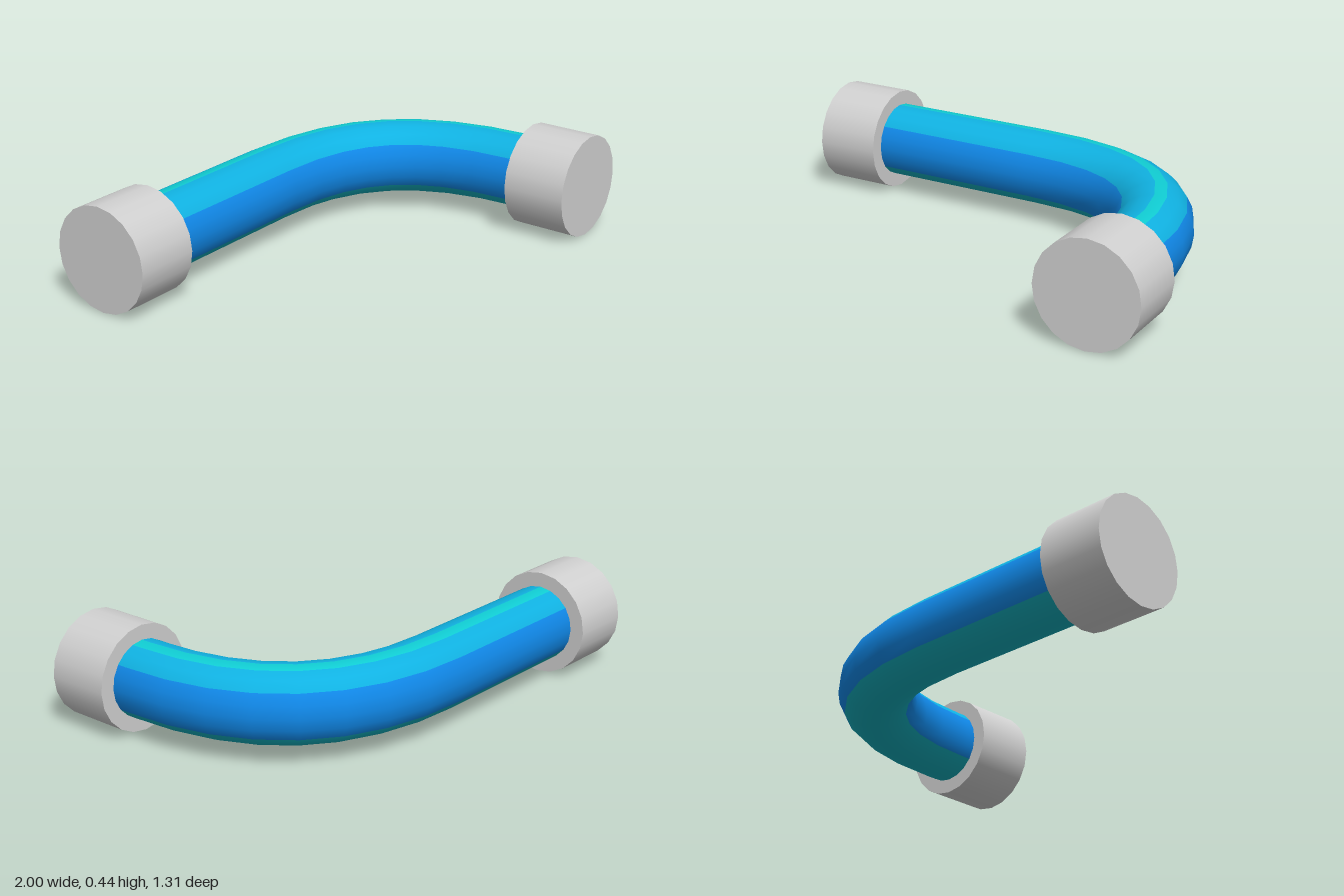
import * as THREE from 'three';

const Y = 0.219, R = 0.158, SIDES = 20;

const material = (name, color) => {
  const m = new THREE.MeshStandardMaterial({ color });
  m.name = name;
  return m;
};

// Centre line: straight run, curved elbow, short straight end
function pathRings() {
  const bend = new THREE.QuadraticBezierCurve3(
    new THREE.Vector3(0, Y, -0.438),
    new THREE.Vector3(0.781, Y, -0.438),
    new THREE.Vector3(0.781, Y, 0.34)
  );
  const rings = [{ p: new THREE.Vector3(-0.85, Y, -0.438), t: new THREE.Vector3(1, 0, 0) }];
  for (let i = 0; i <= 8; i++) rings.push({ p: bend.getPoint(i / 8), t: bend.getTangent(i / 8) });
  rings.push({ p: new THREE.Vector3(0.781, Y, 0.5), t: new THREE.Vector3(0, 0, 1) });
  return rings;
}

// Smooth tube with one colour per lengthwise strip
function pipeGeometry(stripColour) {
  const rings = pathRings();
  const pos = [], nor = [], idx = [];
  const geo = new THREE.BufferGeometry();
  for (const { p, t } of rings) {
    for (let j = 0; j <= SIDES; j++) {
      const a = (j / SIDES) * Math.PI * 2;
      const n = new THREE.Vector3(t.z * Math.cos(a), Math.sin(a), -t.x * Math.cos(a));
      nor.push(n.x, n.y, n.z);
      pos.push(p.x + R * n.x, p.y + R * n.y, p.z + R * n.z);
    }
  }
  const row = SIDES + 1;
  for (let j = 0; j < SIDES; j++) {
    const start = idx.length;
    for (let i = 0; i < rings.length - 1; i++) {
      const a = i * row + j, b = a + 1, c = a + row, d = c + 1;
      idx.push(a, b, c, b, d, c);
    }
    geo.addGroup(start, idx.length - start, stripColour(j));
  }
  geo.setAttribute('position', new THREE.Float32BufferAttribute(pos, 3));
  geo.setAttribute('normal', new THREE.Float32BufferAttribute(nor, 3));
  geo.setIndex(idx);
  return geo;
}

export function createModel() {
  const model = new THREE.Group();
  const grey = material('collar grey', 0xd0d0d0);
  const colours = [
    material('side blue', 0x1088e8),
    material('upper light blue', 0x10b2e2),
    material('top stripe teal', 0x10ced4),
    material('underside teal', 0x10aebc)
  ];

  // Strip 0 starts on the outer side of the bend and runs over the top
  const stripColour = (j) => {
    if (j === 4) return 2;
    if (j >= 2 && j < 8) return 1;
    if (j >= 12 && j < 18) return 3;
    return 0;
  };
  const pipe = new THREE.Mesh(pipeGeometry(stripColour), colours);
  pipe.name = 'bentPipe';
  model.add(pipe);

  // Solid end collars
  const collarGeo = new THREE.CylinderGeometry(0.219, 0.219, 0.275, SIDES);
  const addCollar = (name, x, z, rx, rz) => {
    const collar = new THREE.Mesh(collarGeo, grey);
    collar.name = name;
    collar.position.set(x, Y, z);
    collar.rotation.set(rx, 0, rz);
    model.add(collar);
  };
  addCollar('rightCollar', -0.8625, -0.438, 0, Math.PI / 2);
  addCollar('frontCollar', 0.781, 0.5195, Math.PI / 2, 0);

  return model;
}
